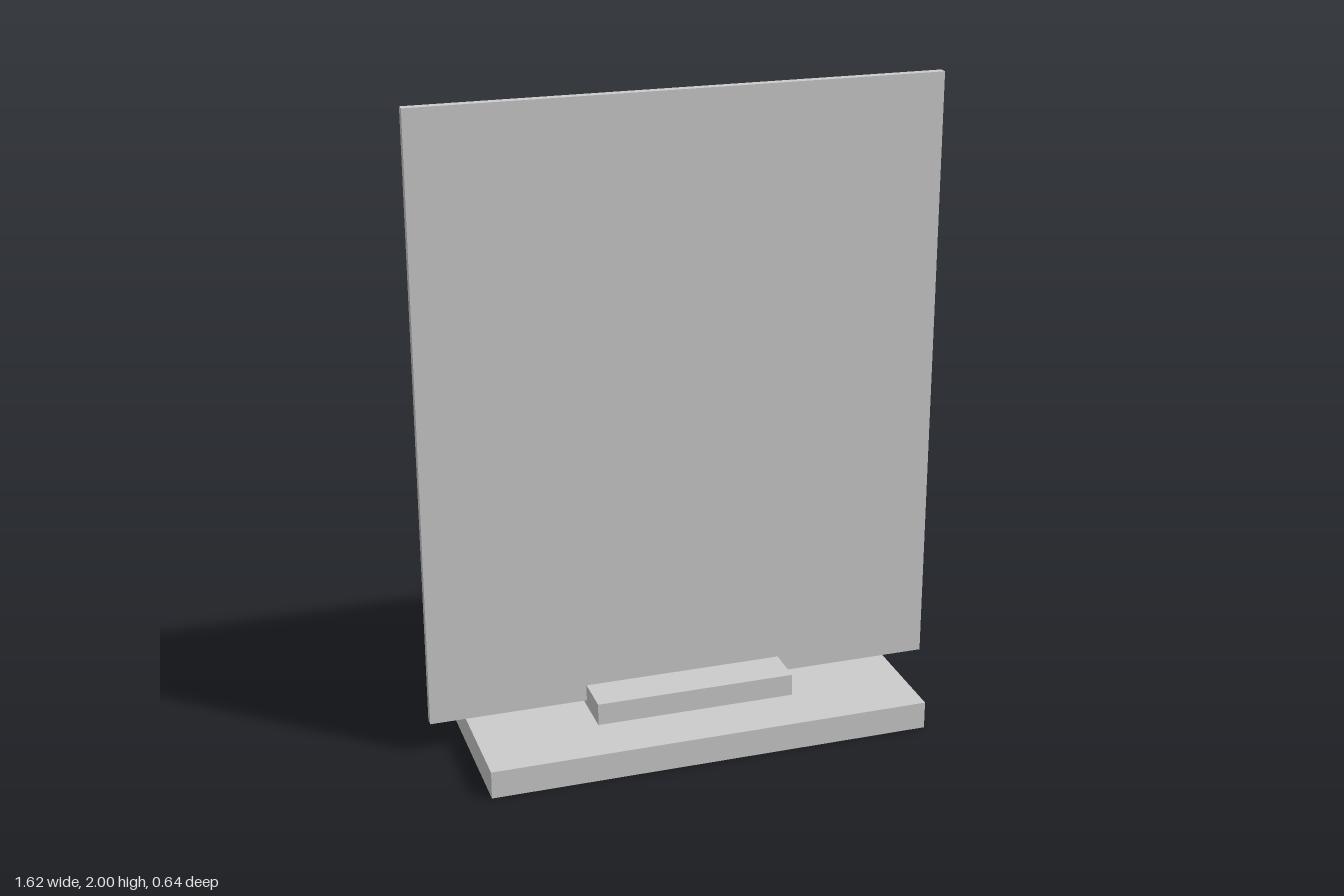
import * as THREE from 'three';

export function createModel() {
  const model = new THREE.Group();
  model.name = 'standingPanel';
  const material = new THREE.MeshStandardMaterial({ color: 0xcccccc });

  // A box centred on x and z, spanning bottom to top
  function slab(name, width, depth, bottom, top) {
    const mesh = new THREE.Mesh(new THREE.BoxGeometry(width, top - bottom, depth), material);
    mesh.name = name;
    mesh.position.y = (bottom + top) / 2;
    model.add(mesh);
  }

  slab('base', 1.383, 0.642, 0, 0.087);
  // Block that grips the panel
  slab('holder', 0.63, 0.29, 0.087, 0.157);
  // Thin upright panel, its lower edge sunk into the holder
  slab('panel', 1.616, 0.028, 0.105, 2);

  return model;
}
